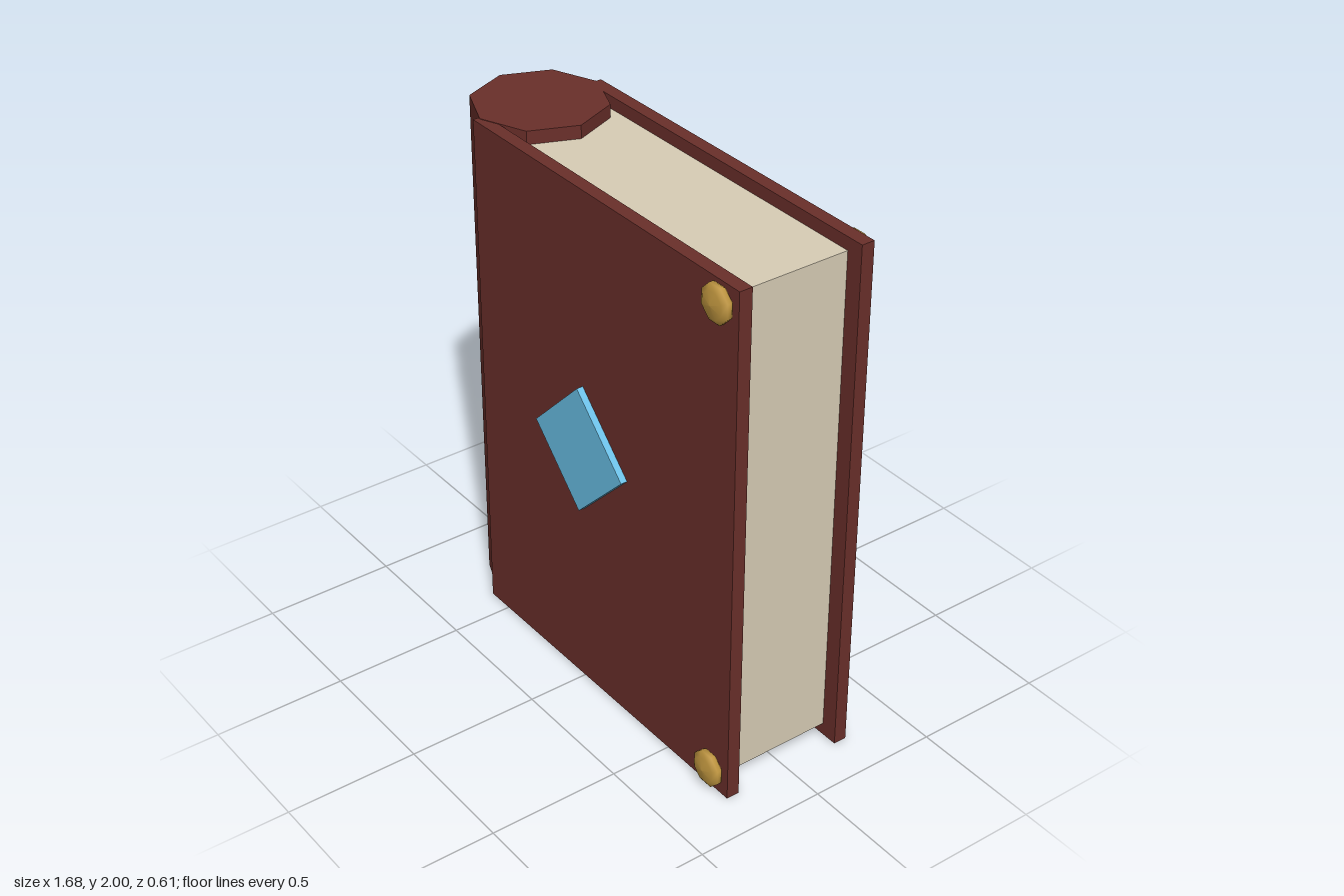
import * as THREE from 'three';

const material = (color, flatShading = true) => new THREE.MeshStandardMaterial({ color, flatShading });

export function createModel() {
  const book = new THREE.Group();
  book.name = 'book';
  const leather = material(0x6a2f2a);
  const paper = material(0xd8cdb6);
  const blue = material(0x69bfe6);
  const brass = material(0xc0963f, false);

  const add = (name, geometry, mat, x, y, z) => {
    const mesh = new THREE.Mesh(geometry, mat);
    mesh.name = name;
    mesh.position.set(x, y, z);
    book.add(mesh);
    return mesh;
  };

  // Eight-sided spine, a hair taller than the covers
  add('spine', new THREE.CylinderGeometry(0.245, 0.245, 2, 8), leather, -0.595, 1, 0);

  // Page block
  add('pages', new THREE.BoxGeometry(1.34, 1.9, 0.43), paper, 0.1, 1, 0);

  // Domed stud, its axis along y until turned outward
  const studProfile = [[0, 0], [0.064, 0], [0.07, 0.01], [0.07, 0.024], [0.05, 0.036], [0, 0.043]]
    .map(([r, h]) => new THREE.Vector2(r, h));
  const studGeometry = new THREE.LatheGeometry(studProfile, 8, Math.PI / 8);

  // Covers with a stud at each outer corner
  for (const side of [1, -1]) {
    const face = side > 0 ? 'front' : 'back';
    add(face + 'Cover', new THREE.BoxGeometry(1.44, 1.996, 0.05), leather, 0.115, 1, side * 0.24);
    for (const [corner, y] of [['Bottom', 0.083], ['Top', 1.92]]) {
      const stud = add(face + corner + 'Stud', studGeometry, brass, 0.742, y, side * 0.262);
      stud.rotation.x = side * Math.PI / 2;
    }
  }

  // Diamond ornament on the front cover
  const diamond = add('diamondOrnament', new THREE.BoxGeometry(0.354, 0.354, 0.05), blue, 0.014, 1, 0.265);
  diamond.rotation.z = Math.PI / 4;

  return book;
}
